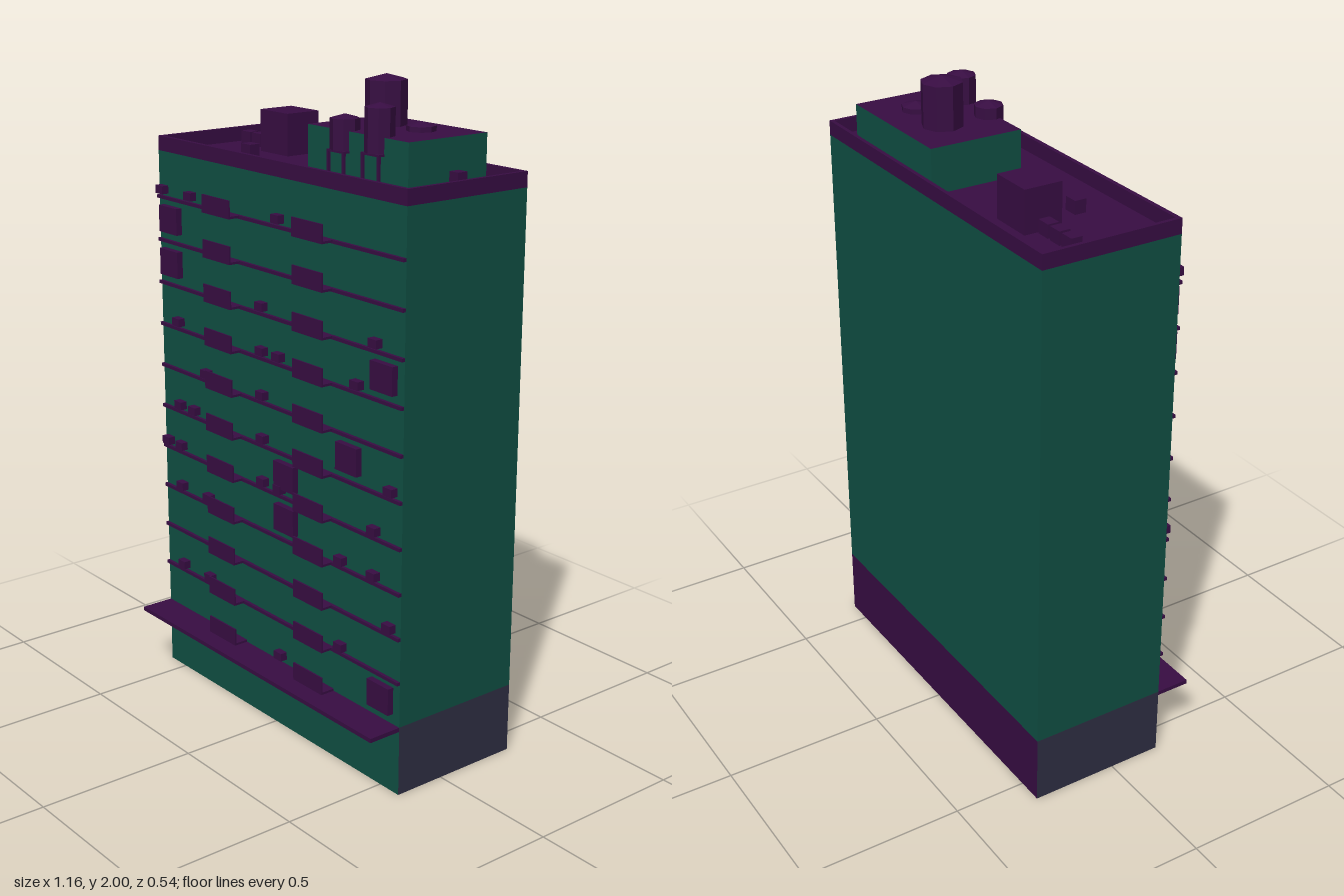
import * as THREE from 'three';

const mat = (name, color) =>
  new THREE.MeshStandardMaterial({ name, color, side: THREE.DoubleSide, flatShading: true });

export function createModel() {
  const teal = mat('teal wall', 0x105044);
  const purple = mat('purple trim', 0x380d43);
  const grey = mat('grey base', 0x2f2f44);
  const root = new THREE.Group();
  root.name = 'apartmentBlock';

  const group = (name) => {
    const g = new THREE.Group();
    g.name = name;
    root.add(g);
    return g;
  };
  // Box given by its low and high corners
  const box = (parent, name, m, x0, x1, y0, y1, z0, z1) => {
    const mesh = new THREE.Mesh(new THREE.BoxGeometry(x1 - x0, y1 - y0, z1 - z0), m);
    mesh.position.set((x0 + x1) / 2, (y0 + y1) / 2, (z0 + z1) / 2);
    mesh.name = name;
    parent.add(mesh);
    return mesh;
  };
  // Upright wall panel turned about y
  const wall = (parent, name, m, w, y0, y1, x, z, turn) => {
    const mesh = new THREE.Mesh(new THREE.PlaneGeometry(w, y1 - y0), m);
    mesh.position.set(x, (y0 + y1) / 2, z);
    mesh.rotation.y = turn;
    mesh.name = name;
    parent.add(mesh);
  };

  const W = 0.58, F = 0.165, B = -0.272, BASE = 0.216, ROOF = 1.72, TOP = 1.765;
  const depth = F - B, midZ = (F + B) / 2;

  // Hollow shell, open underneath
  const shell = group('shell');
  wall(shell, 'frontWall', teal, 2 * W, 0, ROOF, 0, F, 0);
  wall(shell, 'backWall', teal, 2 * W, BASE, ROOF, 0, B, Math.PI);
  wall(shell, 'backBase', purple, 2 * W, 0, BASE, 0, B, Math.PI);
  for (const s of [-1, 1]) {
    wall(shell, 'sideWall', teal, depth, BASE, ROOF, s * W, midZ, s * Math.PI / 2);
    wall(shell, 'sideBase', grey, depth, 0, BASE, s * W, midZ, s * Math.PI / 2);
  }

  // Roof deck and parapet
  const roof = group('roof');
  const deck = new THREE.Mesh(new THREE.PlaneGeometry(2 * W, depth), purple);
  deck.rotation.x = -Math.PI / 2;
  deck.position.set(0, ROOF, midZ);
  deck.name = 'roofDeck';
  roof.add(deck);
  box(roof, 'frontParapet', purple, -W, W, ROOF, TOP, F - 0.013, F);
  box(roof, 'backParapet', purple, -W, W, ROOF, TOP, B, B + 0.012);
  for (const s of [-1, 1])
    box(roof, 'sideParapet', purple, s * (W - 0.006) - 0.006, s * (W - 0.006) + 0.006, ROOF, TOP, B + 0.012, F - 0.013);

  // Penthouse: teal walls, purple top
  const penthouse = box(roof, 'penthouse', teal, 0, 0.435, ROOF, 1.855, -0.255, 0.035);
  penthouse.material = [teal, teal, purple, teal, teal, teal];

  // Rooftop boxes
  box(roof, 'stairHead', purple, -0.37, -0.235, ROOF, 1.848, -0.19, -0.072);
  for (const x of [-0.507, -0.452, -0.398])
    box(roof, 'roofUnit', purple, x - 0.022, x + 0.022, ROOF, 1.76, -0.15, -0.115);
  box(roof, 'roofUnit', purple, -0.325, -0.28, ROOF, 1.76, 0, 0.036);
  box(roof, 'penthouseUnit', purple, 0.435, 0.47, ROOF, 1.762, -0.15, -0.115);

  // Eight-sided water tanks with shallow cone lids
  const tank = (x, z, r, y0, y1, lid, legs) => {
    const g = group('waterTank');
    const body = new THREE.Mesh(new THREE.CylinderGeometry(r, r, y1 - lid - y0, 8), purple);
    body.position.set(x, (y0 + y1 - lid) / 2, z);
    body.name = 'tankBody';
    const cap = new THREE.Mesh(new THREE.ConeGeometry(r, lid, 8), purple);
    cap.position.set(x, y1 - lid / 2, z);
    cap.name = 'tankLid';
    g.add(body, cap);
    if (!legs) return;
    box(g, 'tankStand', purple, x - 0.038, x + 0.038, y0 - 0.006, y0, z - 0.036, z + 0.036);
    for (const sx of [-1, 1]) for (const sz of [-1, 1]) {
      const lx = x + sx * 0.034, lz = z + sz * 0.032;
      box(g, 'tankLeg', purple, lx - 0.004, lx + 0.004, ROOF, y0, lz - 0.004, lz + 0.004);
    }
  };
  tank(0.148, -0.132, 0.061, 1.855, 2, 0.016, false);
  tank(0.298, -0.132, 0.043, 1.855, 1.882, 0.012, false);
  tank(0.148, 0.02, 0.043, 1.8, 1.9, 0.012, true);
  tank(0.298, 0.02, 0.043, 1.81, 1.947, 0.012, true);

  // Street canopy
  const facade = group('facade');
  box(facade, 'canopy', purple, -W, W, 0.203, BASE, F, 0.272);

  // Small cooling units per floor, by x position
  const units = [
    [0.037], [-0.477, -0.33, 0.325], [0.54], [-0.477, -0.33, 0.325, 0.47],
    [-0.55, -0.477, -0.045, 0.037, 0.47], [-0.477, -0.4, -0.045, 0.54], [-0.33, -0.045],
    [-0.477, -0.045, 0.037, 0.393], [-0.045, 0.47], [], [-0.55, -0.4, 0.037],
  ];
  // Large wall boxes: floor -> x position
  const panels = { 0: 0.505, 3: 0.067, 4: 0.067, 5: 0.357, 7: 0.505, 8: -0.51, 9: -0.51 };

  units.forEach((xs, i) => {
    const y = 0.218 + 0.136 * i;
    if (i > 0) box(facade, 'floorLedge', purple, -W, W, y - 0.005, y + 0.005, F, 0.175);
    // Balconies: floor plate and front rail panel
    for (const x of [-0.218, 0.216]) {
      box(facade, 'balconyFloor', purple, x - 0.068, x + 0.068, y - 0.002, y + 0.005, F, 0.212);
      box(facade, 'balconyFront', purple, x - 0.068, x + 0.068, y, y + 0.053, 0.207, 0.212);
    }
    for (const x of xs)
      box(facade, 'coolingUnit', purple, x - 0.018, x + 0.018, y + 0.013, y + 0.038, F, 0.188);
    if (i in panels) {
      const x = panels[i];
      box(facade, 'wallBox', purple, x - 0.047, x + 0.047, y + 0.03, y + 0.113, F, 0.185);
    }
  });
  return root;
}
